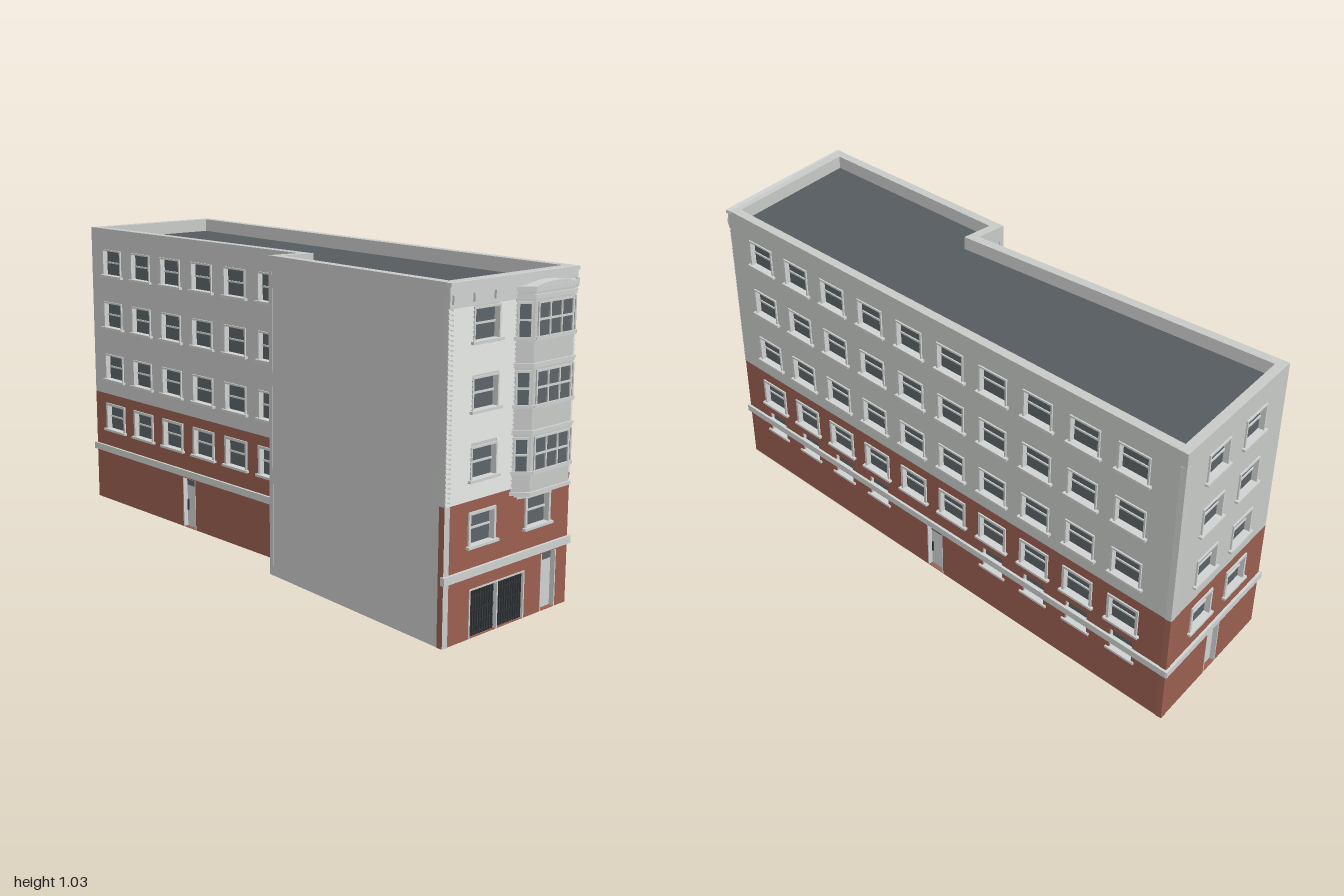
import * as THREE from 'three';

const mat = (name, color, side = THREE.FrontSide) => {
  const m = new THREE.MeshStandardMaterial({ color, side });
  m.name = name;
  return m;
};

export function createModel() {
  const root = new THREE.Group();
  root.name = 'cornerBuilding';

  const M = {
    grey: mat('greyRender', 0xc8cac8),
    siding: mat('paleSiding', 0xd6d8d6),
    brick: mat('redBrick', 0x9a5f50),
    trim: mat('paleTrim', 0xcfd2d0),
    glass: mat('darkGlass', 0x5c6468),
    roof: mat('roofFelt', 0x565b5f),
    bars: mat('darkIron', 0x34393c),
  };

  const add = (parent, name, geo, material) => {
    const mesh = new THREE.Mesh(geo, material);
    mesh.name = name;
    parent.add(mesh);
    return mesh;
  };
  // Box given by its centre x and its y and z ranges
  const box = (parent, name, x, w, y0, y1, z0, z1, material) => {
    const m = add(parent, name, new THREE.BoxGeometry(w, y1 - y0, z1 - z0), material);
    m.position.set(x, (y0 + y1) / 2, (z0 + z1) / 2);
    return m;
  };
  // Vertical prism over an [x, z] plan, with an optional hole
  const prism = (plan, y0, y1, hole) => {
    const v = (p) => p.map(([x, z]) => new THREE.Vector2(x, -z));
    const s = new THREE.Shape(v(plan));
    if (hole) s.holes.push(new THREE.Path(v(hole)));
    return new THREE.ExtrudeGeometry(s, { depth: y1 - y0, bevelEnabled: false })
      .rotateX(-Math.PI / 2).translate(0, y0, 0);
  };

  // Footprint, front left corner first
  const plan = [[-0.397, 0.953], [0.167, 0.953], [0.385, -0.98], [-0.163, -0.993], [-0.203, 0.165], [-0.31, 0.145]];
  const inset = (p, t) => p.map((c, i) => {
    const a = p[(i + p.length - 1) % p.length], b = p[(i + 1) % p.length];
    const dir = (u, v) => { const l = Math.hypot(v[0] - u[0], v[1] - u[1]); return [(v[0] - u[0]) / l, (v[1] - u[1]) / l]; };
    const d = dir(a, c), e = dir(c, b);
    const n = [d[1], -d[0]], m = [e[1], -e[0]];
    const k = t / (1 + n[0] * m[0] + n[1] * m[1]);
    return [c[0] + (n[0] + m[0]) * k, c[1] + (n[1] + m[1]) * k];
  });

  // Group whose x runs along the wall and whose z points outwards
  const wallFrame = (name, a, b) => {
    const g = new THREE.Group();
    g.name = name;
    g.position.set(a[0], 0, a[1]);
    g.rotation.y = Math.atan2(a[1] - b[1], b[0] - a[0]);
    root.add(g);
    return [g, Math.hypot(b[0] - a[0], b[1] - a[1])];
  };

  // Wall slab with openings { x, y, w, h }
  const slab = (parent, name, length, y0, y1, openings, material) => {
    const s = new THREE.Shape([[0, y0], [length, y0], [length, y1], [0, y1]].map((p) => new THREE.Vector2(...p)));
    for (const o of openings) {
      const l = o.x - o.w / 2, r = o.x + o.w / 2, t = o.y + o.h;
      s.holes.push(new THREE.Path([[l, o.y], [l, t], [r, t], [r, o.y]].map((p) => new THREE.Vector2(...p))));
    }
    add(parent, name, new THREE.ExtrudeGeometry(s, { depth: 0.02, bevelEnabled: false }).translate(0, 0, -0.02), material);
  };

  // Glazing, frame, bars and sill; back is the depth of the glass
  const windowUnit = (parent, o, { cols = 1, back = -0.014, front = 0.005, edge = 0.006, sill = 0.012 } = {}) => {
    const g = new THREE.Group();
    g.name = 'window';
    g.position.set(o.x, o.y, 0);
    parent.add(g);
    const { w, h } = o;
    box(g, 'glass', 0, w, 0, h, back - 0.002, back, M.glass);
    for (const s of [-1, 1]) box(g, 'jamb', s * w / 2, edge, 0, h, back, front, M.trim);
    box(g, 'head', 0, w + edge, h - edge / 2, h + edge / 2, back, front, M.trim);
    box(g, 'meetingRail', 0, w, h / 2 - 0.003, h / 2 + 0.003, back, back + 0.004, M.trim);
    for (let i = 1; i < cols; i++) box(g, 'mullion', (i / cols - 0.5) * w, 0.005, 0, h, back, back + 0.004, M.trim);
    box(g, 'sill', 0, w + 0.024, -0.007, 0.001, back, sill, M.trim);
  };

  const doorUnit = (parent, o) => {
    box(parent, 'door', o.x, o.w, 0, o.h, -0.02, -0.016, M.trim);
    box(parent, 'transomGlass', o.x, o.w - 0.01, o.h - 0.026, o.h - 0.006, -0.016, -0.014, M.glass);
    box(parent, 'doorHandle', o.x - o.w * 0.35, 0.004, 0.06, 0.1, -0.016, -0.011, M.bars);
    for (const s of [-1, 1]) box(parent, 'doorPost', o.x + s * (o.w / 2 - 0.002), 0.004, 0, o.h, -0.016, 0.001, M.trim);
  };

  const upperRows = [0.468, 0.664, 0.857];
  const run = (n, start, step) => Array.from({ length: n }, (_, i) => start + i * step);
  const rightCols = run(10, 0.16, 0.179), leftCols = run(6, 0.13, 0.178);
  const walls = [
    { name: 'frontWall', upper: [0.159], lower: [0.159, 0.412], door: 0.4745, gate: true, siding: true },
    { name: 'rightWall', upper: rightCols, lower: rightCols, ground: rightCols.filter((_, i) => i !== 4 && i !== 5), door: 0.969 },
    { name: 'backWall', upper: [0.175, 0.375], lower: [0.175, 0.375], door: 0.278 },
    { name: 'rearLeftWall', upper: leftCols, lower: leftCols, door: 0.575 },
    { name: 'stepWall', plain: true },
    { name: 'partyWall', plain: true },
  ];

  walls.forEach((spec, i) => {
    const [g, L] = wallFrame(spec.name, plan[i], plan[(i + 1) % plan.length]);
    if (spec.plain) {
      slab(g, 'plainWall', L, 0, 0.978, [], M.grey);
      return;
    }
    const up = spec.upper.flatMap((x) => upperRows.map((y) => ({ x, y, w: 0.108, h: 0.092 })));
    const low = spec.lower.map((x) => ({ x, y: 0.277, w: 0.11, h: 0.094 }));
    const ground = (spec.ground || []).map((x) => ({ x, y: 0.157, w: 0.088, h: 0.078 }));
    const door = { x: spec.door, y: 0.002, w: 0.072, h: 0.178 };
    const gate = spec.gate ? [{ x: 0.236, y: 0.002, w: 0.248, h: 0.146 }] : [];
    slab(g, 'brickWall', L, 0, 0.41, [...low, ...ground, door, ...gate], M.brick);
    slab(g, 'upperWall', L, 0.41, 0.978, up, M.grey);
    up.forEach((o) => windowUnit(g, o));
    low.forEach((o) => windowUnit(g, o, { edge: 0.009 }));
    ground.forEach((o) => windowUnit(g, o, { front: -0.004, sill: 0.006 }));
    doorUnit(g, door);
    box(g, 'stringCourse', L / 2, L + 0.014, 0.187, 0.211, -0.005, 0.009, M.trim);

    // Garage gate with iron bars
    for (const o of gate) {
      box(g, 'gateBacking', o.x, o.w, 0, 0.148, -0.02, -0.016, M.glass);
      for (let k = 0; k <= 22; k++) box(g, 'gateBar', o.x + (k / 22 - 0.5) * (o.w - 0.008), 0.004, 0, 0.145, -0.012, -0.006, M.bars);
      for (const y of [0.008, 0.04, 0.075, 0.115, 0.138]) box(g, 'gateRail', o.x, o.w, y, y + 0.004, -0.014, -0.009, M.bars);
      for (const s of [-1, 0, 1]) box(g, 'gatePost', o.x + s * 0.122, 0.005, 0, 0.148, -0.014, 0.002, M.trim);
      box(g, 'gateHead', o.x, o.w, 0.143, 0.148, -0.014, 0.002, M.trim);
    }

    // Overlapping boards, interrupted by the windows, and the cornice
    if (spec.siding) {
      const n = 40, h = (0.955 - 0.41) / n;
      const profile = new THREE.Shape([[0, 0], [0.004, 0], [0, h]].map((p) => new THREE.Vector2(...p)));
      const board = (x0, x1, y) => {
        // The profile's x becomes the outward direction
        const geo = new THREE.ExtrudeGeometry(profile, { depth: x1 - x0, bevelEnabled: false }).rotateY(-Math.PI / 2);
        add(g, 'sidingBoard', geo, M.siding).position.set(x1, y, 0);
      };
      for (let k = 0; k < n; k++) {
        const y = 0.41 + k * h;
        if (upperRows.some((r) => y + h > r - 0.003 && y < r + 0.094)) {
          board(0, 0.104, y);
          board(0.214, L, y);
        } else board(0, L, y);
      }
      box(g, 'frieze', L / 2, L, 0.957, 1.015, 0, 0.005, M.trim);
      box(g, 'corniceCap', L / 2, L + 0.004, 1.015, 1.027, -0.01, 0.01, M.trim);
      for (const x of [0.014, 0.1, 0.19, 0.556]) box(g, 'bracket', x, 0.012, 0.968, 0.993, 0.004, 0.012, M.trim);
    }
  });

  // Inner lining, roof and parapet
  add(root, 'innerLining', prism(inset(plan, 0.02), 0, 0.97, inset(plan, 0.025)), M.grey);
  add(root, 'ceiling', prism(inset(plan, 0.02), 0.965, 0.97), M.grey);
  add(root, 'roofDeck', prism(inset(plan, 0.02), 0.97, 0.982), M.roof);
  add(root, 'parapet', prism(plan, 0.978, 1.027, inset(plan, 0.032)), M.grey);

  // Canted bay: stacked layers, each grown outwards by e
  const cx = 0.017, bayFront = 0.992;
  const bayPlan = (e) => [[cx - 0.13 - e, 0.945], [cx - 0.13 - e, 0.954], [cx - 0.092 - e * 0.6, bayFront + e],
    [cx + 0.092 + e * 0.6, bayFront + e], [cx + 0.13 + e, 0.954], [cx + 0.13 + e, 0.945]];
  const bay = (name, y0, y1, e, m = M.grey) => add(root, name, prism(bayPlan(e), y0, y1), m);
  bay('bayBody', 0.4, 0.985, 0);
  [[0.372, 0.38, -0.03], [0.38, 0.389, -0.016], [0.389, 0.4, 0.006]].forEach(([a, b, e]) => bay('bayCorbel', a, b, e, M.trim));
  for (const y of [0.45, 0.644, 0.838]) {
    bay('baySillCourse', y, y + 0.007, 0.006, M.trim);
    bay('bayHeadCourse', y + 0.118, y + 0.126, 0.005, M.trim);
    bay('bayHeadMoulding', y + 0.126, y + 0.131, 0.007, M.trim);
  }
  bay('bayCornice', 0.978, 0.992, 0.007, M.trim);
  const arch = new THREE.Shape();
  arch.moveTo(cx - 0.1, 0.991);
  arch.quadraticCurveTo(cx, 1.014, cx + 0.1, 0.991);
  add(root, 'bayArchedCap', new THREE.ExtrudeGeometry(arch, { depth: 0.04, bevelEnabled: false, curveSegments: 10 })
    .translate(0, 0, 0.957), M.trim);

  // Windows on the three faces of the bay
  const face = bayPlan(0);
  for (let i = 1; i < 4; i++) {
    const [g, L] = wallFrame('bayFace', face[i], face[i + 1]);
    const w = i === 2 ? 0.158 : 0.038;
    for (const y of [0.461, 0.654, 0.849])
      windowUnit(g, { x: L / 2, y, w, h: 0.097 }, { cols: i === 2 ? 3 : 1, back: 0.002, front: 0.006, sill: 0.008 });
  }
  return root;
}
